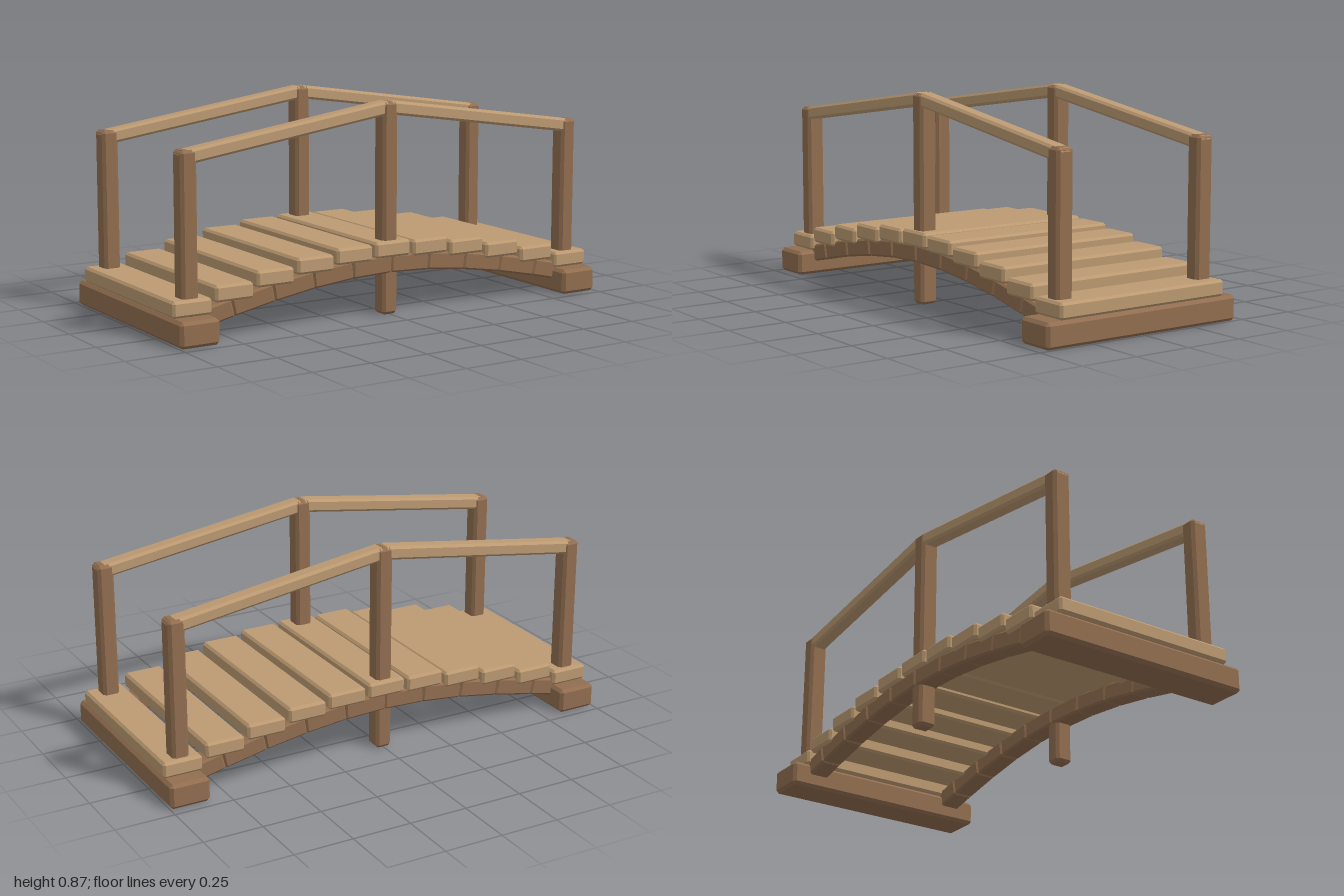
import * as THREE from 'three';
import { ConvexGeometry } from 'three/addons/geometries/ConvexGeometry.js';

const lightWood = new THREE.MeshStandardMaterial({ color: 0xbc9a72, flatShading: true });
const darkWood = new THREE.MeshStandardMaterial({ color: 0x926e50, flatShading: true });

// Box with all edges cut by a flat chamfer c
function chamferBox(w, h, d, c) {
  const pts = [];
  for (const sx of [-1, 1]) for (const sy of [-1, 1]) for (const sz of [-1, 1]) {
    const x = sx * w / 2, y = sy * h / 2, z = sz * d / 2;
    pts.push(
      new THREE.Vector3(x, y - sy * c, z - sz * c),
      new THREE.Vector3(x - sx * c, y, z - sz * c),
      new THREE.Vector3(x - sx * c, y - sy * c, z)
    );
  }
  return new ConvexGeometry(pts);
}

function addBeam(parent, name, material, size, pos, chamfer = 0.012, angle = 0) {
  const mesh = new THREE.Mesh(chamferBox(...size, chamfer), material);
  mesh.name = name;
  mesh.position.set(...pos);
  mesh.rotation.z = angle;
  parent.add(mesh);
}

// Beam in the xy plane running from a to b
function addSpan(parent, name, material, a, b, thick, depth, z, chamfer) {
  const dx = b[0] - a[0], dy = b[1] - a[1];
  addBeam(parent, name, material, [Math.hypot(dx, dy), thick, depth],
    [(a[0] + b[0]) / 2, (a[1] + b[1]) / 2, z], chamfer, Math.atan2(dy, dx));
}

export function createModel() {
  const bridge = new THREE.Group();
  bridge.name = 'footbridge';

  const endX = 0.915, step = endX / 5, sideZ = 0.343;
  // Height of the deck's top surface along its arch
  const deckTop = x => 0.172 + 0.135 * Math.cos((x / endX) * Math.PI / 2);

  // Level deck planks, stepped along the arch
  for (let i = -5; i <= 5; i++) {
    const x = i * step;
    addBeam(bridge, 'plank', lightWood, [0.168, 0.066, 0.805], [x, deckTop(x) - 0.033, 0], 0.01);
  }

  // Ground sills at both ends
  for (const s of [-1, 1])
    addBeam(bridge, 'groundSill', darkWood, [0.17, 0.104, 0.932], [s * endX, 0.052, 0], 0.013);

  for (const side of [-1, 1]) {
    const z = side * sideZ;

    // Arched stringer made of straight segments
    for (let i = -5; i < 5; i++) {
      const a = i * step, b = a + step;
      addSpan(bridge, 'stringerSegment', darkWood,
        [a, deckTop(a) - 0.096], [b, deckTop(b) - 0.096], 0.074, 0.09, z, 0.008);
    }

    // Posts: the middle one reaches the ground
    addBeam(bridge, 'middlePost', darkWood, [0.07, 0.87, 0.077], [0, 0.435, z]);
    for (const s of [-1, 1]) {
      addBeam(bridge, 'endPost', darkWood, [0.07, 0.642, 0.077], [s * 0.912, 0.421, z]);

      // Sloping handrail
      addSpan(bridge, 'handrail', lightWood,
        [s * 0.945, 0.709], [0, 0.847], 0.056, 0.068, z, 0.01);
    }
  }
  return bridge;
}
